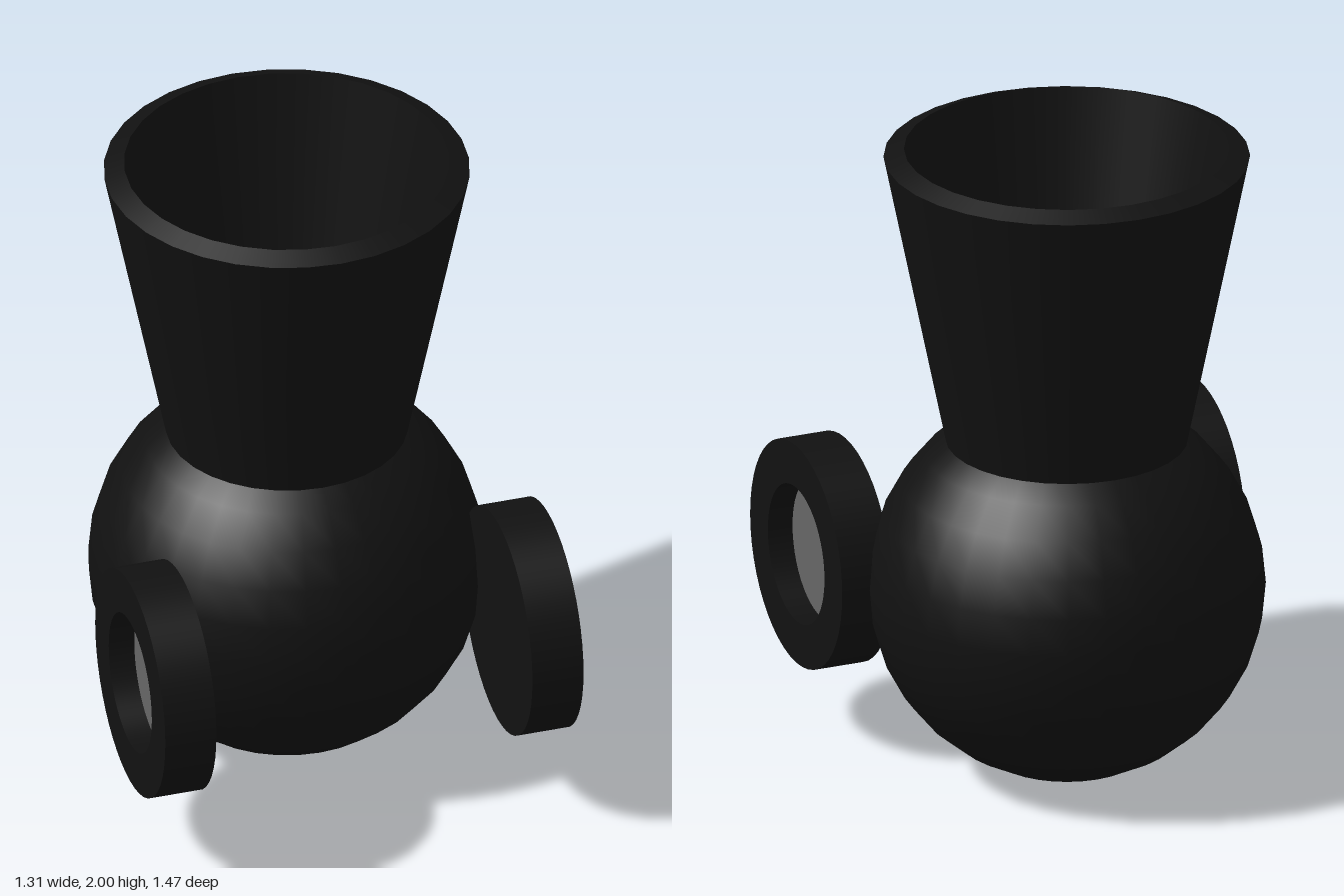
import * as THREE from 'three';

const DARK = new THREE.MeshStandardMaterial({ color: 0x111111 });
const GREY = new THREE.MeshStandardMaterial({ color: 0x666666 });

function part(name, geometry, material = DARK) {
  const mesh = new THREE.Mesh(geometry, material);
  mesh.name = name;
  return mesh;
}

// Lathe whose corners stay sharp: each straight profile segment is its own band
function sharpLathe(name, points, segments) {
  const group = new THREE.Group();
  group.name = name;
  for (let i = 0; i < points.length - 1; i++) {
    const pair = [points[i], points[i + 1]].map(([r, y]) => new THREE.Vector2(r, y));
    group.add(part(name + 'Band', new THREE.LatheGeometry(pair, segments)));
  }
  return group;
}

// Short drum lying along x, with a grey disc sunk into its outer face
function createWheel(side) {
  const wheel = new THREE.Group();
  wheel.name = side > 0 ? 'leftWheel' : 'rightWheel';
  const half = 0.08, radius = 0.35, hole = 0.215, floor = 0;
  wheel.add(sharpLathe('wheelRim', [
    [0, -half], [radius, -half], [radius, half], [hole, half], [hole, floor],
  ], 48));
  const disc = part('wheelDisc', new THREE.CircleGeometry(hole, 48), GREY);
  disc.rotation.x = -Math.PI / 2;
  disc.position.y = floor;
  wheel.add(disc);
  wheel.rotation.z = -side * Math.PI / 2;
  wheel.position.set(side * 0.575, 0.595, 0.385);
  return wheel;
}

export function createModel() {
  const model = new THREE.Group();
  model.name = 'model';

  // Round body with a flared open funnel on top
  const body = new THREE.Group();
  body.name = 'body';
  body.position.z = -0.14;
  const ball = part('ball', new THREE.SphereGeometry(0.595, 32, 16));
  ball.position.y = 0.595;
  body.add(ball);
  body.add(sharpLathe('funnel', [
    [0.35, 1.0], [0.548, 1.975], [0.487, 2.0], [0.295, 1.0],
  ], 32));
  model.add(body);

  // Wheels either side of the front
  for (const side of [1, -1]) model.add(createWheel(side));
  return model;
}
